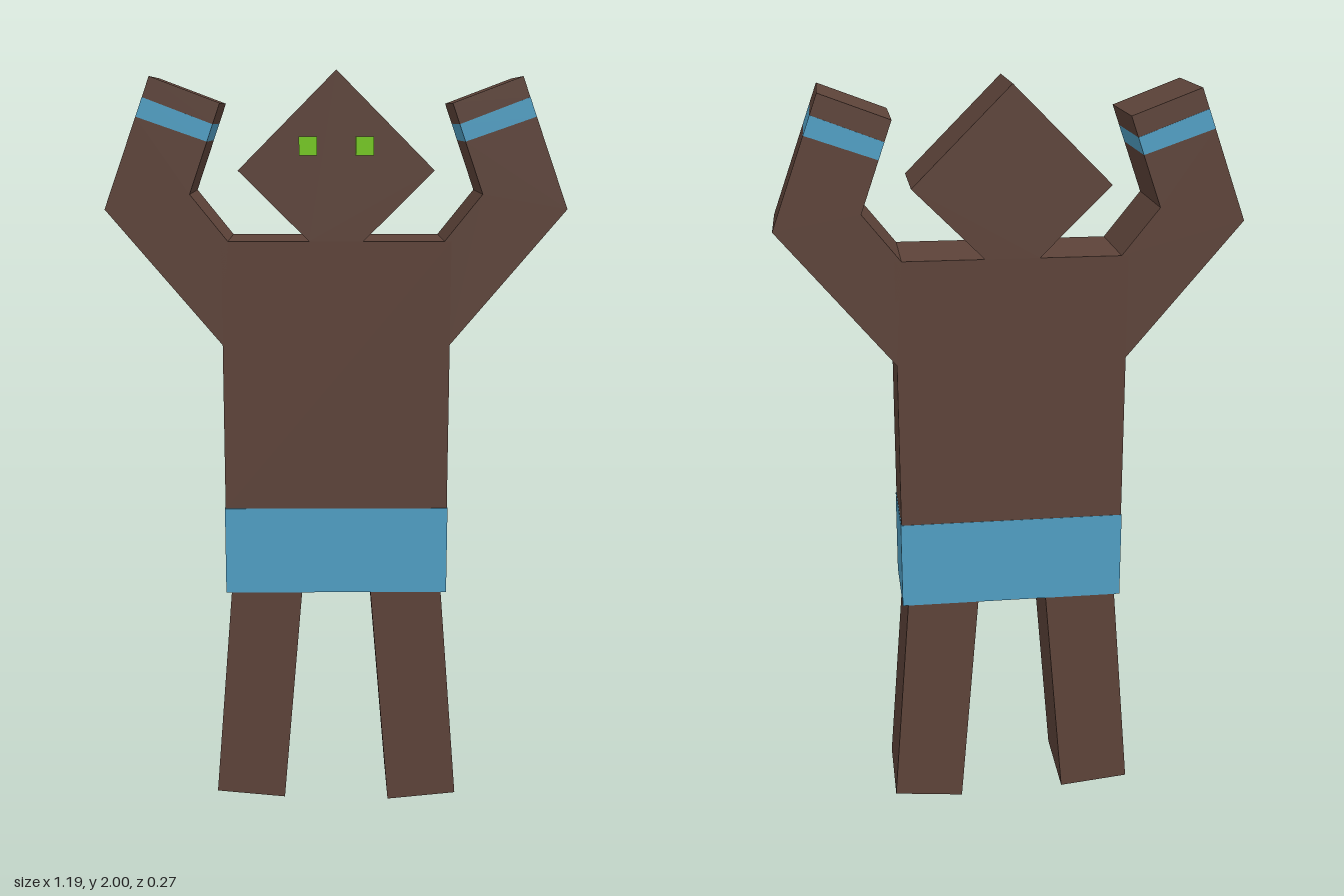
import * as THREE from 'three';

const BACK = -0.135, DEPTH = 0.24;

export function createModel() {
  const model = new THREE.Group();
  const material = (color) => new THREE.MeshStandardMaterial({ color, flatShading: true });
  const skin = material(0x5d4339), blue = material(0x509fc4), green = material(0x74c81c);

  // Flat slab with a polygonal front outline, optionally grown in depth
  function slab(name, points, mat, grow = 0) {
    const shape = new THREE.Shape(points.map(([x, y]) => new THREE.Vector2(x, y)));
    const geo = new THREE.ExtrudeGeometry(shape, { depth: DEPTH + 2 * grow, bevelEnabled: false });
    geo.translate(0, 0, BACK - grow);
    const mesh = new THREE.Mesh(geo, mat);
    mesh.name = name;
    model.add(mesh);
  }
  const rect = (w, y0, y1) => [[-w, y0], [w, y0], [w, y1], [-w, y1]];
  const mix = (a, b, t) => [a[0] + (b[0] - a[0]) * t, a[1] + (b[1] - a[1]) * t];

  // Trunk and waist wrap
  slab('torso', rect(0.298, 0.855, 1.57), skin);
  slab('waistWrap', rect(0.3, 0.618, 0.855), blue, 0.001);

  // Diamond head whose lower tip sinks into the torso
  slab('head', [[-0.07, 1.57], [0.07, 1.57], [0.252, 1.75], [0, 2], [-0.252, 1.75]], skin);

  for (const [side, s] of [['left', 1], ['right', -1]]) {
    const flip = (points) => points.map(([x, y]) => [s * x, y]);

    // Raised arm: upper arm, then forearm, wrist band and hand along the same two edges
    const elbowOut = [0.595, 1.652], elbowIn = [0.376, 1.69];
    const handOut = [0.472, 1.984], handIn = [0.295, 1.918];
    slab(side + 'UpperArm', flip([[0.298, 1.3], elbowOut, elbowIn, [0.28, 1.57]]), skin);
    const section = (name, from, to, mat, grow) => slab(side + name, flip([
      mix(elbowOut, handOut, from[0]), mix(elbowOut, handOut, to[0]),
      mix(elbowIn, handIn, to[1]), mix(elbowIn, handIn, from[1]),
    ]), mat, grow);
    section('Forearm', [0, 0], [0.7, 0.58], skin);
    section('WristBand', [0.7, 0.58], [0.845, 0.77], blue, 0.001);
    section('Hand', [0.845, 0.77], [1, 1], skin);

    // Slightly splayed leg; the right foot is lifted a touch
    const lift = s < 0 ? 0.008 : 0;
    slab(side + 'Leg', flip([[0.145, 0.003 + lift], [0.334, 0.022 + lift], [0.285, 0.62], [0.093, 0.62]]), skin);

    // Eye
    const eye = new THREE.Mesh(new THREE.BoxGeometry(0.046, 0.046, 0.04), green);
    eye.name = side + 'Eye';
    eye.position.set(s * 0.072, 1.812, 0.115);
    model.add(eye);
  }
  return model;
}
